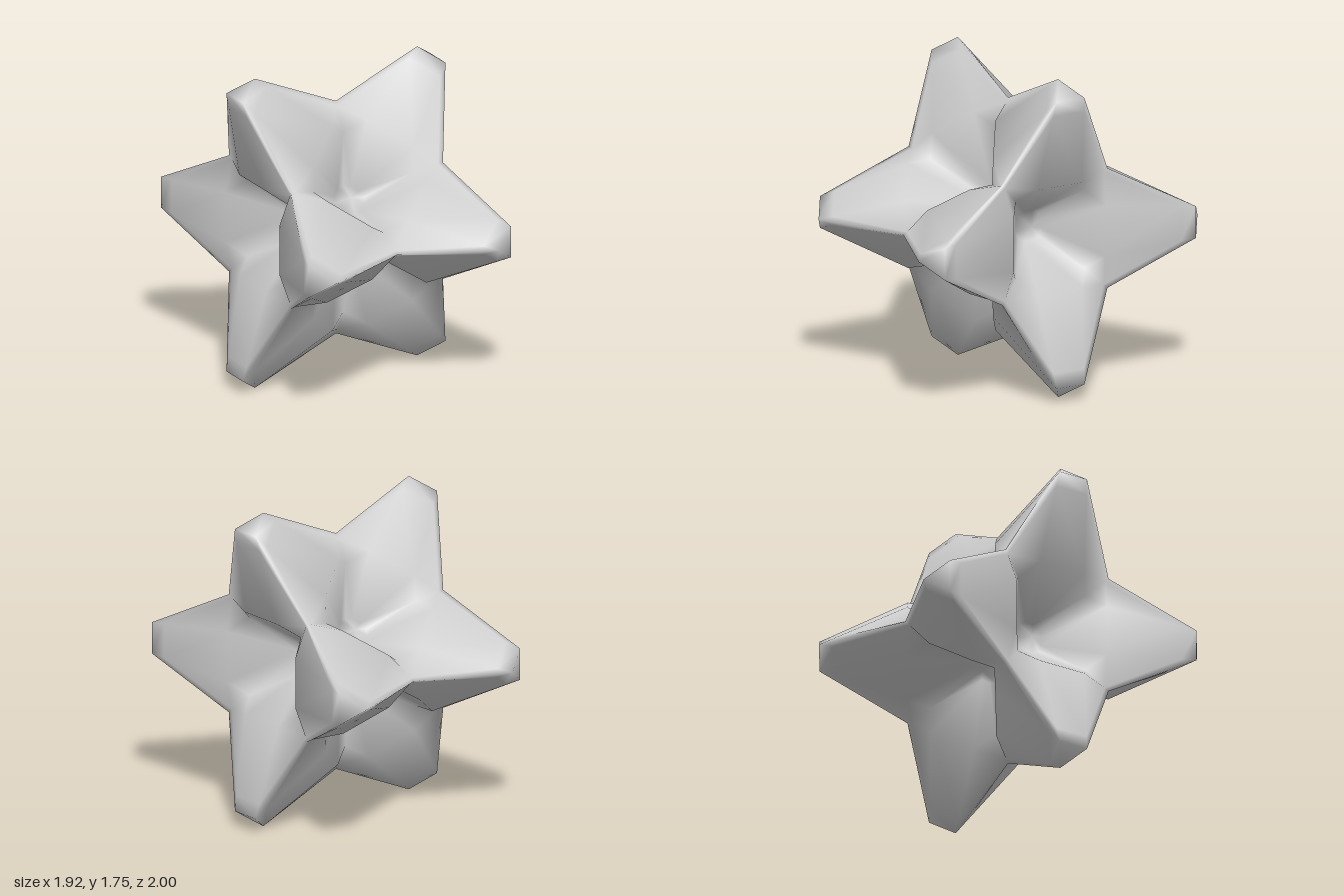
import * as THREE from 'three';
import { mergeVertices } from 'three/addons/utils/BufferGeometryUtils.js';

// Eight-armed star based on a cube standing with one body diagonal along z.
const AXES = [
  new THREE.Vector3(1 / Math.sqrt(6), Math.SQRT1_2, 1 / Math.sqrt(3)),
  new THREE.Vector3(-2 / Math.sqrt(6), 0, 1 / Math.sqrt(3)),
  new THREE.Vector3(1 / Math.sqrt(6), -Math.SQRT1_2, 1 / Math.sqrt(3)),
];
const C = 1 / Math.sqrt(3); // half size of the cube
const CUT = 0.041;          // size of the blunt tips
const NEAR = C - 2 * CUT, FAR = C + CUT;

// One quarter of a cube face as rows of [u, v, height], from the ridge inwards
const RIDGE = [[0.465, 0, 0.465], [FAR, NEAR, FAR], [NEAR, FAR, FAR], [0, 0.465, 0.465]];
const RIM = [[0.305, 0, 0.415], [0.303, 0.105, 0.51], [0.105, 0.303, 0.51], [0, 0.305, 0.415]];
const FLOOR = [[0.09, 0, 0.2], [0.075, 0.04, 0.2], [0.04, 0.075, 0.2], [0, 0.09, 0.2]];
const CENTRE = [0, 0, 0.23];

const mixRow = (a, b, t) => a.map((p, i) => p.map((c, k) => c + (b[i][k] - c) * t));
const ROWS = [RIDGE, mixRow(RIDGE, RIM, 0.16), RIM, FLOOR];

function place(a, b, c, [u, v, h]) {
  return new THREE.Vector3().addScaledVector(a, u).addScaledVector(b, v).addScaledVector(c, h);
}

function starGeometry() {
  const pos = [];
  const tri = (...pts) => pts.forEach((p) => pos.push(p.x, p.y, p.z));

  // Six hollowed faces, each made of four quarters
  for (let k = 0; k < 3; k++) {
    for (const s of [1, -1]) {
      const n = AXES[k].clone().multiplyScalar(s);
      let u = AXES[(k + 1) % 3].clone();
      let v = AXES[(k + 2) % 3].clone().multiplyScalar(s);
      for (let q = 0; q < 4; q++) {
        const rows = ROWS.map((row) => row.map((p) => place(u, v, n, p)));
        const centre = place(u, v, n, CENTRE);
        for (let i = 0; i < 3; i++) {
          for (let r = 0; r < rows.length - 1; r++) {
            const a = rows[r], b = rows[r + 1];
            // Mirrored diagonals keep each arm symmetric
            if (i > 0) {
              tri(b[i], a[i], a[i + 1]);
              tri(b[i], a[i + 1], b[i + 1]);
            } else {
              tri(b[i], a[i], b[i + 1]);
              tri(a[i], a[i + 1], b[i + 1]);
            }
          }
          const f = rows[rows.length - 1];
          tri(centre, f[i], f[i + 1]);
        }
        [u, v] = [v, u.clone().negate()];
      }
    }
  }

  // Eight blunt triangular tips
  for (const x of [1, -1]) for (const y of [1, -1]) for (const z of [1, -1]) {
    const pts = [0, 1, 2].map((k) => {
      const d = [FAR, FAR, FAR];
      d[k] = NEAR;
      return place(AXES[0], AXES[1], AXES[2], [d[0] * x, d[1] * y, d[2] * z]);
    });
    if (x * y * z < 0) pts.reverse();
    tri(...pts);
  }

  let g = new THREE.BufferGeometry();
  g.setAttribute('position', new THREE.Float32BufferAttribute(pos, 3));
  g = mergeVertices(g, 1e-4);
  g.computeVertexNormals();
  g.computeBoundingBox();
  g.translate(0, -g.boundingBox.min.y, 0);
  return g;
}

export function createModel() {
  const group = new THREE.Group();
  group.name = 'eightArmedStar';
  const star = new THREE.Mesh(starGeometry(), new THREE.MeshStandardMaterial({ color: 0xcccccc }));
  star.name = 'starBody';
  group.add(star);
  return group;
}
